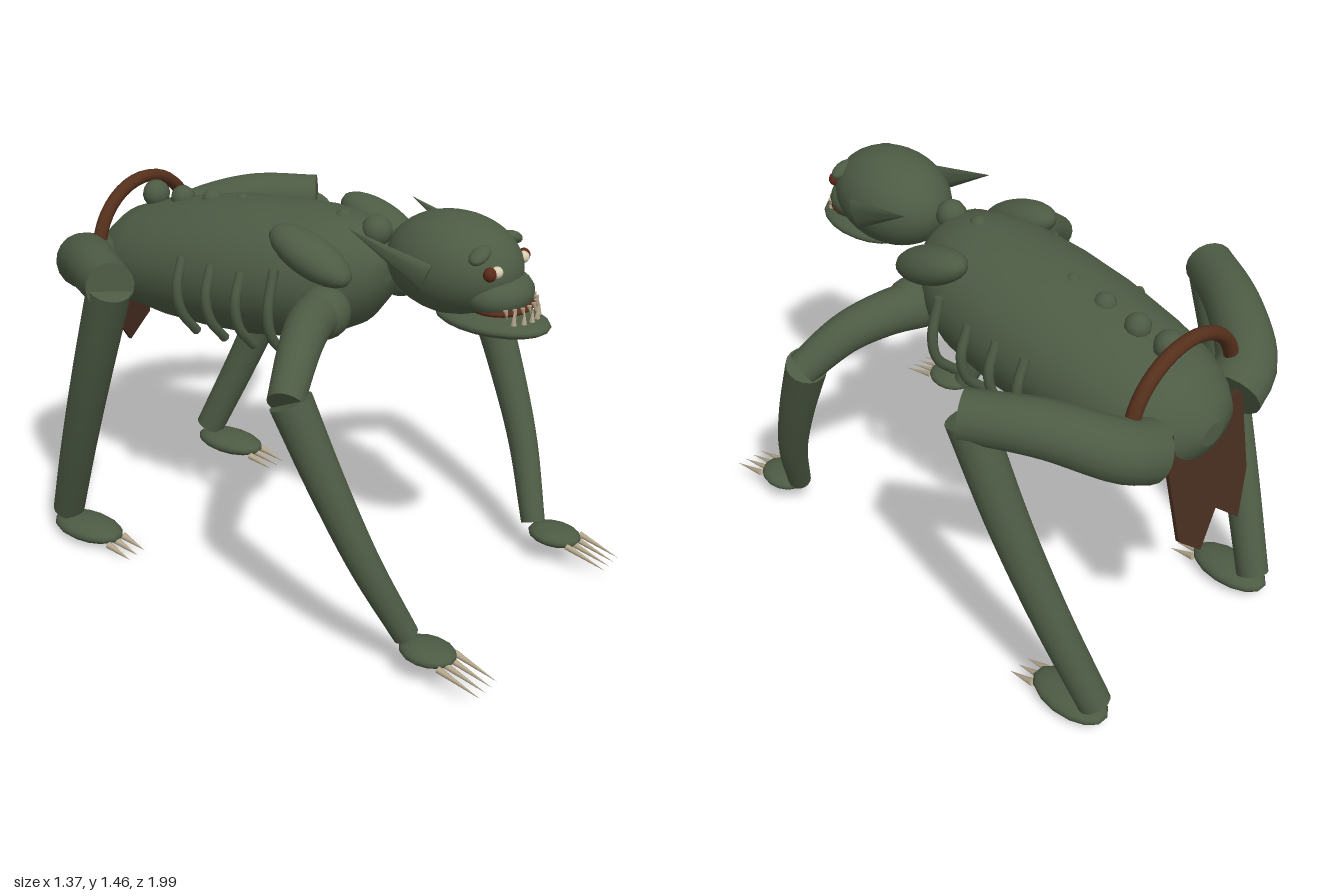
import * as THREE from 'three';

const mat = (name, color) => Object.assign(new THREE.MeshStandardMaterial({ color }), { name });
const skin = mat('mossy skin', 0x4d5b44);
const leather = mat('belt leather', 0x55301c);
const cloth = mat('brown cloth', 0x472d1f);
cloth.side = THREE.DoubleSide;
const gum = mat('dark red mouth', 0x5c2a18);
const bone = mat('bone', 0xb5a78c);
const eyeWhite = mat('pale eye', 0xd9cdb4);

const V = (x, y, z) => new THREE.Vector3(x, y, z);

export function createModel() {
  const model = new THREE.Group();

  const add = (name, geometry, material, parent = model) => {
    const mesh = new THREE.Mesh(geometry, material);
    mesh.name = name;
    parent.add(mesh);
    return mesh;
  };

  const ball = (name, c, r, material = skin, w = 20, h = 14) => {
    const mesh = add(name, new THREE.SphereGeometry(1, w, h), material);
    mesh.position.set(...c);
    mesh.scale.set(...r);
    return mesh;
  };

  // Skin over a list of rings, with flat end caps
  const loft = (rings) => {
    const n = rings[0].length, last = rings.length - 1;
    const pts = rings.flat(), index = [];
    for (let i = 0; i < last; i++) {
      for (let j = 0; j < n; j++) {
        const k = (j + 1) % n;
        const a = i * n + j, d = i * n + k, b = a + n, c = d + n;
        index.push(a, d, b, d, c, b);
      }
    }
    for (const [ring, flip] of [[rings[0], true], [rings[last], false]]) {
      const start = pts.length;
      pts.push(...ring);
      for (let j = 1; j < n - 1; j++) {
        if (flip) index.push(start, start + j + 1, start + j);
        else index.push(start, start + j, start + j + 1);
      }
    }
    const g = new THREE.BufferGeometry().setFromPoints(pts);
    g.setIndex(index);
    g.computeVertexNormals();
    return g;
  };

  // Tapered round limb along a smooth path
  const limb = (name, path, r0, r1, sides = 18, steps = 16) => {
    const curve = new THREE.CatmullRomCurve3(path);
    const { normals, binormals } = curve.computeFrenetFrames(steps);
    const rings = [];
    for (let i = 0; i <= steps; i++) {
      const c = curve.getPointAt(i / steps), r = r0 + (r1 - r0) * i / steps;
      rings.push(Array.from({ length: sides }, (_, j) => {
        const a = j / sides * Math.PI * 2;
        return c.clone().addScaledVector(normals[i], r * Math.cos(a))
          .addScaledVector(binormals[i], r * Math.sin(a));
      }));
    }
    return add(name, loft(rings), skin);
  };

  // Cone from a base point to a tip
  const spike = (name, base, tip, r, material = bone, sides = 8) => {
    const dir = tip.clone().sub(base);
    const mesh = add(name, new THREE.ConeGeometry(r, dir.length(), sides), material);
    mesh.position.copy(base).addScaledVector(dir, 0.5);
    mesh.quaternion.setFromUnitVectors(V(0, 1, 0), dir.normalize());
    return mesh;
  };

  // Torso stations: z, centre y, half width, half height
  const stations = [
    [0.285, 1.2, 0.03, 0.03], [0.275, 1.2, 0.11, 0.1], [0.2, 1.185, 0.2, 0.18],
    [0.1, 1.165, 0.255, 0.215], [0, 1.15, 0.285, 0.235], [-0.2, 1.125, 0.3, 0.247],
    [-0.4, 1.105, 0.293, 0.245], [-0.6, 1.08, 0.275, 0.224], [-0.75, 1.065, 0.248, 0.2],
    [-0.85, 1.055, 0.205, 0.168], [-0.92, 1.05, 0.14, 0.115], [-0.95, 1.05, 0.05, 0.04],
  ];
  add('torso', loft(stations.map(([z, y, rx, ry]) =>
    Array.from({ length: 32 }, (_, j) => {
      const a = j / 32 * Math.PI * 2;
      return V(rx * Math.cos(a), y - ry * Math.sin(a), z);
    }))), skin);

  // Spine knobs: z, y, radius
  [[0.235, 1.345, 0.055], [0.1, 1.36, 0.035], [-0.34, 1.342, 0.025], [-0.48, 1.318, 0.04],
    [-0.62, 1.3, 0.046], [-0.75, 1.292, 0.052]]
    .forEach(([z, y, r]) => ball('spineKnob', [0, y, z], [r, r, r], skin, 10, 8));

  // Head, muzzle and jaw
  ball('skull', [0, 1.3, 0.54], [0.183, 0.17, 0.24], skin, 28, 20);
  ball('muzzle', [0, 1.235, 0.7], [0.135, 0.078, 0.122]);
  ball('mouth', [0, 1.198, 0.72], [0.122, 0.025, 0.108], gum);
  ball('jaw', [0, 1.138, 0.69], [0.132, 0.04, 0.205]);
  for (let i = 0; i < 8; i++) {
    const a = (i - 3.5) * 0.26;
    const x = 0.122 * Math.sin(a), z = 0.725 + 0.11 * Math.cos(a);
    spike('upperTooth', V(x, 1.217, z - 0.005), V(x, 1.185, z + 0.003), 0.009, bone, 6);
  }
  for (let i = 0; i < 6; i++) {
    const a = (i - 2.5) * 0.32;
    const x = 0.11 * Math.sin(a), z = 0.73 + 0.115 * Math.cos(a);
    spike('lowerTooth', V(x, 1.165, z), V(x, i === 0 || i === 5 ? 1.225 : 1.212, z), 0.01, bone, 6);
  }

  for (const s of [-1, 1]) {
    const P = (x, y, z) => V(s * x, y, z);

    // Face
    ball('eyeSocket', [s * 0.112, 1.33, 0.733], [0.022, 0.024, 0.022], gum, 12, 10);
    ball('eye', [s * 0.088, 1.333, 0.745], [0.02, 0.02, 0.02], eyeWhite, 12, 10);
    ball('brow', [s * 0.105, 1.385, 0.69], [0.05, 0.022, 0.032], skin, 12, 8).rotation.z = -s * 0.35;
    spike('ear', P(0.178, 1.295, 0.54), P(0.2, 1.415, 0.25), 0.055, skin, 6).scale.x = 0.35;

    // Shoulder and front arm
    ball('shoulderBlade', [s * 0.213, 1.292, 0.11], [0.082, 0.068, 0.17]).rotation.x = 0.38;
    ball('shoulder', [s * 0.24, 1.115, 0.185], [0.092, 0.092, 0.092]);
    limb('upperArm', [P(0.22, 1.11, 0.17), P(0.34, 1.115, 0.2), P(0.48, 1.075, 0.255), P(0.635, 0.97, 0.315)], 0.085, 0.06);
    limb('forearm', [P(0.612, 0.97, 0.32), P(0.587, 0.7, 0.44), P(0.54, 0.42, 0.56), P(0.452, 0.14, 0.67)], 0.073, 0.045);
    ball('hand', [s * 0.457, 0.113, 0.76], [0.08, 0.034, 0.103], skin, 14, 10);
    for (let i = 0; i < 4; i++) {
      const x = 0.407 + i * 0.037;
      spike('handClaw', P(x, 0.108, 0.835), P(x, 0.06, 0.998), 0.012);
    }

    // Hind leg
    limb('thigh', [P(0.2, 1.05, -0.86), P(0.31, 1.1, -0.835), P(0.46, 1.17, -0.66), P(0.6, 1.18, -0.44)], 0.108, 0.085);
    limb('shin', [P(0.588, 1.17, -0.455), P(0.555, 0.8, -0.6), P(0.505, 0.45, -0.745), P(0.438, 0.1, -0.895)], 0.077, 0.06);
    ball('foot', [s * 0.442, 0.05, -0.79], [0.088, 0.041, 0.16], skin, 14, 10);
    for (let i = 0; i < 3; i++) {
      const x = 0.4 + i * 0.042;
      spike('footClaw', P(x, 0.035, -0.65), P(x, 0.006, -0.54), 0.014);
    }

    // Ribs
    [0.005, -0.135, -0.265, -0.395].forEach((z, i) => {
      const top = i ? 1.2 : 1.24, low = 0.91 - i * 0.004;
      limb('rib', [P(0.275, top, z), P(0.313, 1.1, z), P(0.295, 1, z), P(0.215, low, z)], 0.018, 0.018, 8, 14);
    });
  }

  // Belt hoop
  const belt = add('belt', new THREE.TorusGeometry(0.25, 0.026, 10, 40), leather);
  belt.position.set(0, 1.118, -0.818);
  belt.scale.y = 0.9;

  // Ragged cloth hanging behind
  const rag = new THREE.Shape([[-0.2, 1.1], [-0.2, 0.8], [-0.14, 0.635], [-0.03, 0.735],
    [0.06, 0.62], [0.16, 0.71], [0.19, 1.1]].map(([x, y]) => new THREE.Vector2(x, y)));
  const ragGeometry = new THREE.ExtrudeGeometry(rag, { depth: 0.014, bevelEnabled: false });
  const p = ragGeometry.attributes.position;
  for (let i = 0; i < p.count; i++) {
    p.setZ(i, p.getZ(i) - 0.905 - (1.1 - p.getY(i)) * 0.185);
  }
  ragGeometry.computeVertexNormals();
  add('loincloth', ragGeometry, cloth);

  return model;
}
